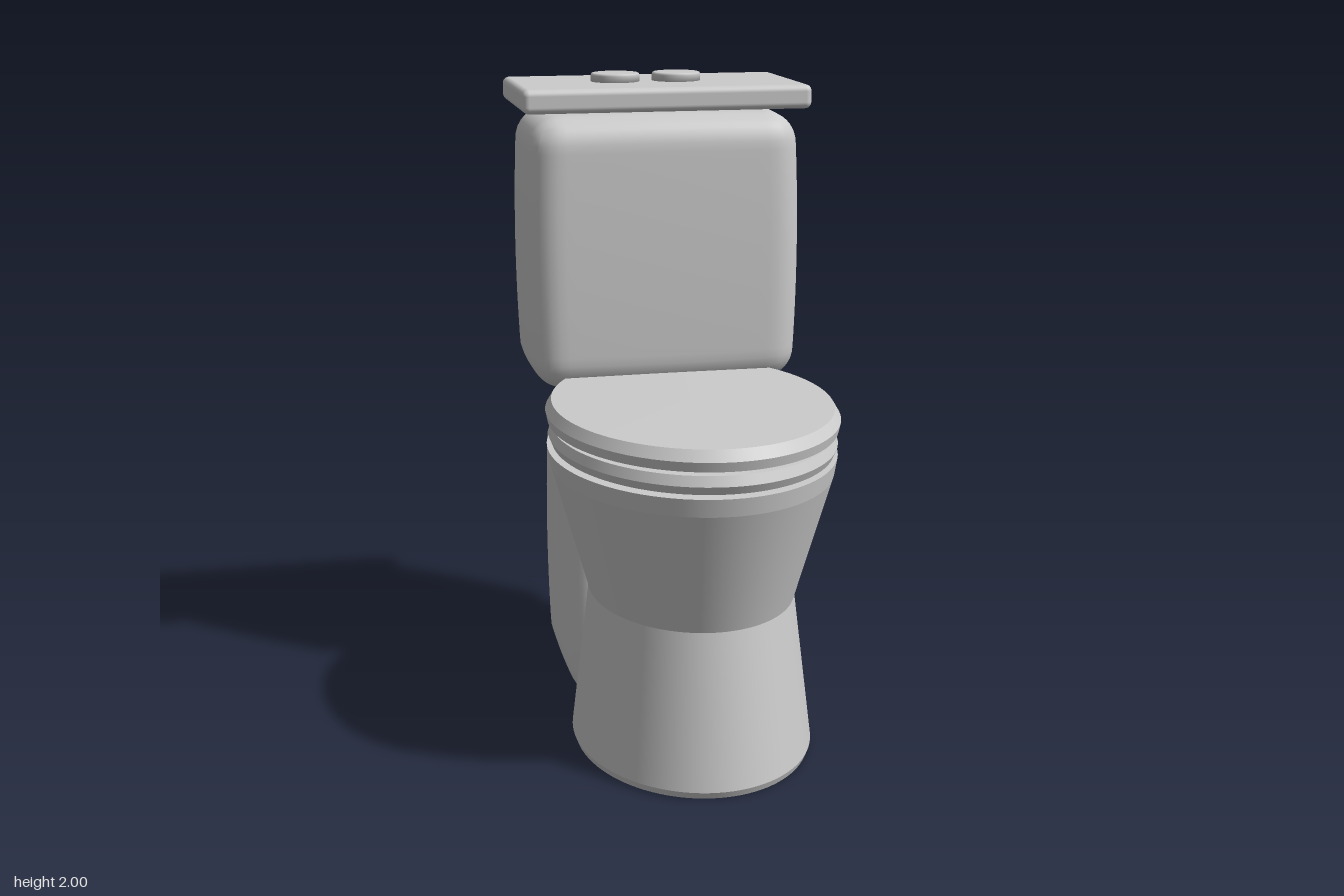
import * as THREE from 'three';
import { mergeVertices } from 'three/addons/utils/BufferGeometryUtils.js';
import { RoundedBoxGeometry } from 'three/addons/geometries/RoundedBoxGeometry.js';

const material = new THREE.MeshStandardMaterial({ color: 0xcccccc });

function addPart(group, name, geometry, x, y, z) {
  const mesh = new THREE.Mesh(geometry, material);
  mesh.name = name;
  mesh.position.set(x, y, z);
  group.add(mesh);
  return mesh;
}

// Soft box: rounded corners plus a slight outward swell on every face
function pillowBox(w, h, d, radius, swell) {
  const half = new THREE.Vector3(w / 2, h / 2, d / 2);
  const inner = half.clone().subScalar(radius);
  const box = new THREE.BoxGeometry(w, h, d, 32, 32, 32);
  box.deleteAttribute('normal');
  box.deleteAttribute('uv');
  const geometry = mergeVertices(box);
  const pos = geometry.attributes.position;
  const p = new THREE.Vector3(), core = new THREE.Vector3();
  for (let i = 0; i < pos.count; i++) {
    p.fromBufferAttribute(pos, i);
    core.copy(p).clamp(inner.clone().negate(), inner);
    p.sub(core).setLength(radius).add(core);
    const a = (p.x / half.x) ** 2, b = (p.y / half.y) ** 2, c = (p.z / half.z) ** 2;
    pos.setXYZ(i,
      p.x * (1 - swell * (b + c * 0.5)),
      p.y * (1 - swell * 0.5 * (a + c)),
      p.z * (1 - swell * (b + a * 0.5)));
  }
  geometry.computeVertexNormals();
  return geometry;
}

// Oval solid turned from [radius, height] points, creased at each point, stretched along z
function ovalSolid(profile, stretch) {
  const points = [];
  profile.forEach(([r, y], i) => {
    const p = new THREE.Vector2(r, y);
    points.push(p);
    if (i > 0 && i < profile.length - 1) points.push(p.clone());
  });
  const geometry = new THREE.LatheGeometry(points, 96);
  // Each straight segment gets its own normals so the rims stay crisp
  const pos = geometry.attributes.position, nor = geometry.attributes.normal;
  const n = points.length;
  for (let i = 0; i < pos.count; i++) {
    const j = i % n, k = j - (j % 2);
    const dr = points[k + 1].x - points[k].x, dy = points[k + 1].y - points[k].y;
    const phi = (Math.floor(i / n) / 96) * Math.PI * 2;
    const v = new THREE.Vector3(dy * Math.sin(phi), -dr, dy * Math.cos(phi)).normalize();
    nor.setXYZ(i, v.x, v.y, v.z);
  }
  geometry.scale(1, 1, stretch);
  return geometry;
}

export function createModel() {
  const group = new THREE.Group();
  group.name = 'toilet';

  // Waisted pedestal bowl
  addPart(group, 'bowl', ovalSolid([
    [0, 0], [0.358, 0], [0.366, 0.022], [0.31, 0.49],
    [0.42, 0.885], [0.429, 0.94], [0, 0.94],
  ], 1.285), 0, 0, 0.11);

  // Seat and lid, both with bevelled rims
  addPart(group, 'seat', ovalSolid([
    [0, 0.952], [0.415, 0.952], [0.425, 0.977], [0.415, 1.006], [0, 1.006],
  ], 1.285), 0, 0, 0.122);
  addPart(group, 'lid', ovalSolid([
    [0, 1.021], [0.427, 1.021], [0.433, 1.05], [0.415, 1.081], [0, 1.087],
  ], 1.29), 0, 0, 0.12);

  // Soft-cornered rear block and cistern
  addPart(group, 'rearBlock', pillowBox(0.695, 0.86, 0.61, 0.09, 0.03), 0, 0.465, -0.355);
  addPart(group, 'cistern', pillowBox(0.864, 0.86, 0.475, 0.09, 0.03), 0, 1.46, -0.422);

  // Cistern cover with two flush buttons
  addPart(group, 'cisternCover', new RoundedBoxGeometry(0.892, 0.073, 0.504, 4, 0.02), 0, 1.936, -0.425);
  const button = new THREE.LatheGeometry([
    [0, 0], [0.076, 0], [0.076, 0.026], [0.0745, 0.031], [0.07, 0.033], [0, 0.034],
  ].map(([r, y]) => new THREE.Vector2(r, y)), 48);
  for (const [name, x] of [['rightButton', -0.122], ['leftButton', 0.072]]) {
    addPart(group, name, button, x, 1.966, -0.428);
  }
  return group;
}
